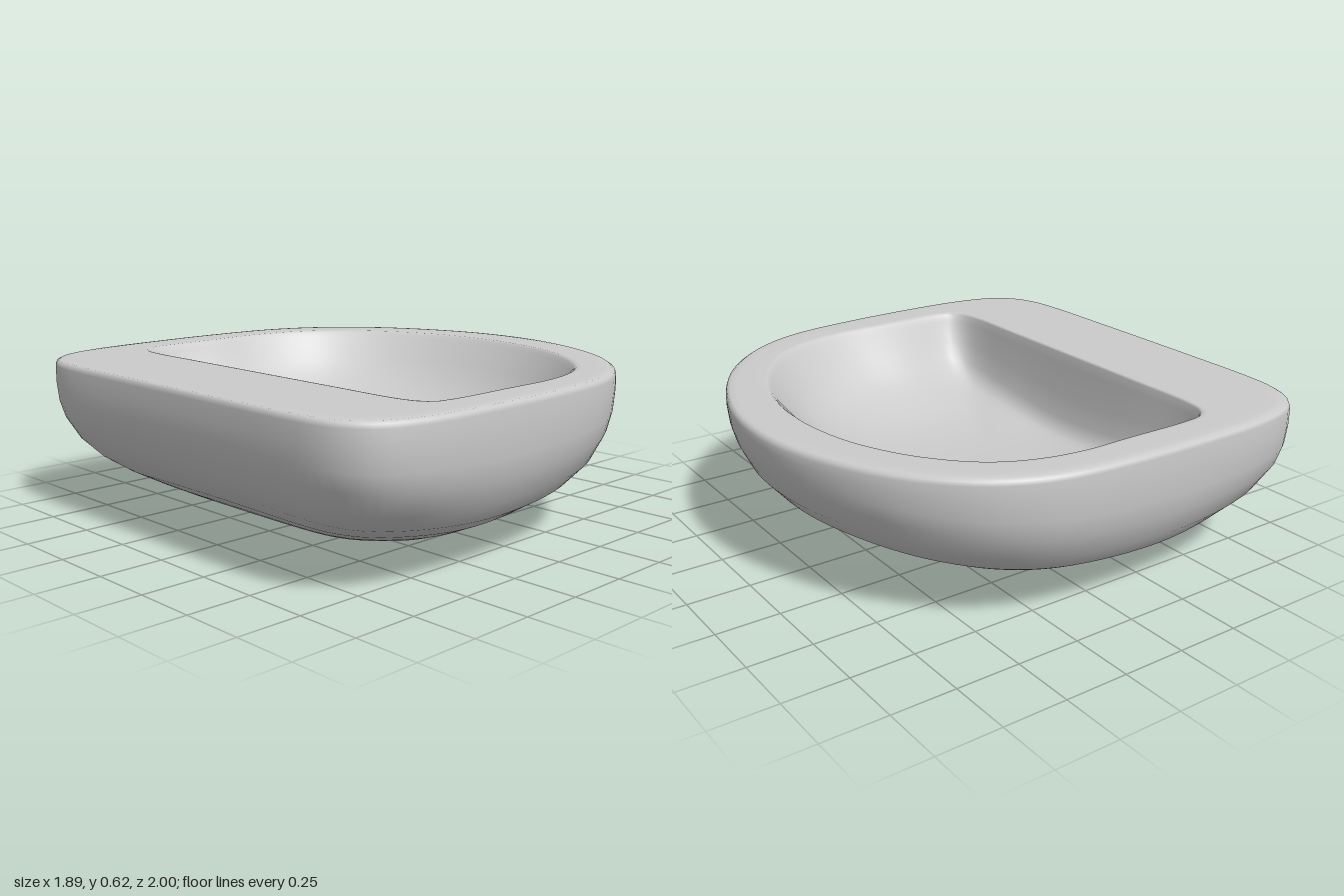
import * as THREE from 'three';
import { mergeVertices } from 'three/addons/utils/BufferGeometryUtils.js';

const SEGMENTS = 128;

// Closed symmetric D outline from its +z half, listed from the straight side to the round side
function outline(half) {
  const mirrored = half.slice(1, -1).reverse().map(([x, z]) => [x, -z]);
  const points = [...half, ...mirrored].map(([x, z]) => new THREE.Vector3(x, 0, z));
  const curve = new THREE.CatmullRomCurve3(points, true, 'centripetal');
  curve.arcLengthDivisions = 1000;
  return curve.getSpacedPoints(SEGMENTS).slice(0, SEGMENTS);
}

// One ring: the outline scaled about (cx, 0), its height blended between
// the left, side and right sections; small rings of the hull soften to an ellipse
function ring(points, cx, [scale, yLeft, ySide, yRight], soften) {
  const xs = points.map((p) => p.x);
  const spanLeft = cx - Math.min(...xs);
  const spanRight = Math.max(...xs) - cx;
  const spanZ = Math.max(...points.map((p) => p.z));
  return points.map((p) => {
    const dx = p.x - cx;
    const u = dx / (dx < 0 ? spanLeft : spanRight);
    const v = p.z / spanZ;
    const r = Math.hypot(u, v);
    const w = (u * u) / (r * r);
    const s = soften ? scale * THREE.MathUtils.lerp(1 / r, 1, Math.min(1, scale * scale)) : scale;
    return [cx + dx * s, THREE.MathUtils.lerp(ySide, dx < 0 ? yLeft : yRight, w), p.z * s];
  });
}

// Skin over consecutive closed rings
function loft(rings) {
  const index = [];
  for (let i = 0; i < rings.length - 1; i++) {
    for (let j = 0; j < SEGMENTS; j++) {
      const k = (j + 1) % SEGMENTS;
      const a = i * SEGMENTS + j, b = i * SEGMENTS + k;
      const c = a + SEGMENTS, d = b + SEGMENTS;
      if (i > 0) index.push(a, b, c);
      if (i === 0 || i < rings.length - 2) index.push(b, d, c);
    }
  }
  const geometry = new THREE.BufferGeometry();
  geometry.setAttribute('position', new THREE.Float32BufferAttribute(rings.flat(2), 3));
  geometry.setIndex(index);
  const merged = mergeVertices(geometry, 1e-5);
  merged.computeVertexNormals();
  return merged;
}

export function createModel() {
  const group = new THREE.Group();
  group.name = 'washbasin';

  const rim = outline([
    [-0.945, 0], [-0.945, 0.3], [-0.943, 0.6], [-0.93, 0.75], [-0.9, 0.84], [-0.84, 0.915],
    [-0.75, 0.96], [-0.6, 0.99], [-0.35, 1], [0, 0.992], [0.25, 0.965], [0.4, 0.92],
    [0.55, 0.835], [0.7, 0.69], [0.8, 0.54], [0.88, 0.36], [0.93, 0.18], [0.945, 0],
  ]);
  const opening = outline([
    [-0.52, 0], [-0.52, 0.4], [-0.518, 0.68], [-0.5, 0.77], [-0.46, 0.815], [-0.38, 0.83],
    [-0.1, 0.83], [0.12, 0.828], [0.3, 0.79], [0.45, 0.71], [0.6, 0.545], [0.7, 0.35],
    [0.745, 0.18], [0.76, 0],
  ]);

  // Underside and outer wall, then the rounded lip: scale, left, side and right height
  const hull = [
    [0, 0, 0, 0], [0.08, 0.005, 0.001, 0.008], [0.2, 0.022, 0.005, 0.03], [0.4, 0.065, 0.02, 0.077],
    [0.52, 0.093, 0.035, 0.107], [0.62, 0.124, 0.06, 0.14], [0.7, 0.156, 0.09, 0.173],
    [0.8, 0.205, 0.135, 0.227], [0.88, 0.262, 0.185, 0.285], [0.94, 0.33, 0.255, 0.365],
    [0.98, 0.41, 0.35, 0.46], [0.995, 0.47, 0.43, 0.52], [1, 0.53, 0.52, 0.57],
    [1, 0.595, 0.595, 0.595], [0.996, 0.61, 0.61, 0.61], [0.986, 0.618, 0.618, 0.618],
    [0.965, 0.62, 0.62, 0.62], [0.94, 0.62, 0.62, 0.62],
  ];
  // Bowl from its upper edge down to the floor
  const bowl = [
    [1.03, 0.62, 0.62, 0.62], [1.01, 0.619, 0.619, 0.619], [1, 0.612, 0.612, 0.612],
    [0.985, 0.57, 0.593, 0.597], [0.95, 0.44, 0.545, 0.56], [0.9, 0.345, 0.485, 0.51],
    [0.85, 0.305, 0.435, 0.46], [0.78, 0.287, 0.39, 0.41], [0.7, 0.28, 0.355, 0.367],
    [0.55, 0.273, 0.31, 0.315], [0.4, 0.27, 0.283, 0.285], [0.2, 0.27, 0.272, 0.272],
    [0, 0.27, 0.27, 0.27],
  ];
  const rings = [
    ...hull.map((row) => ring(rim, -0.2, row, true)),
    ...bowl.map((row) => ring(opening, -0.1, row, false)),
  ];

  const basin = new THREE.Mesh(loft(rings), new THREE.MeshStandardMaterial({ color: 0xcccccc }));
  basin.name = 'basin';
  group.add(basin);
  return group;
}
